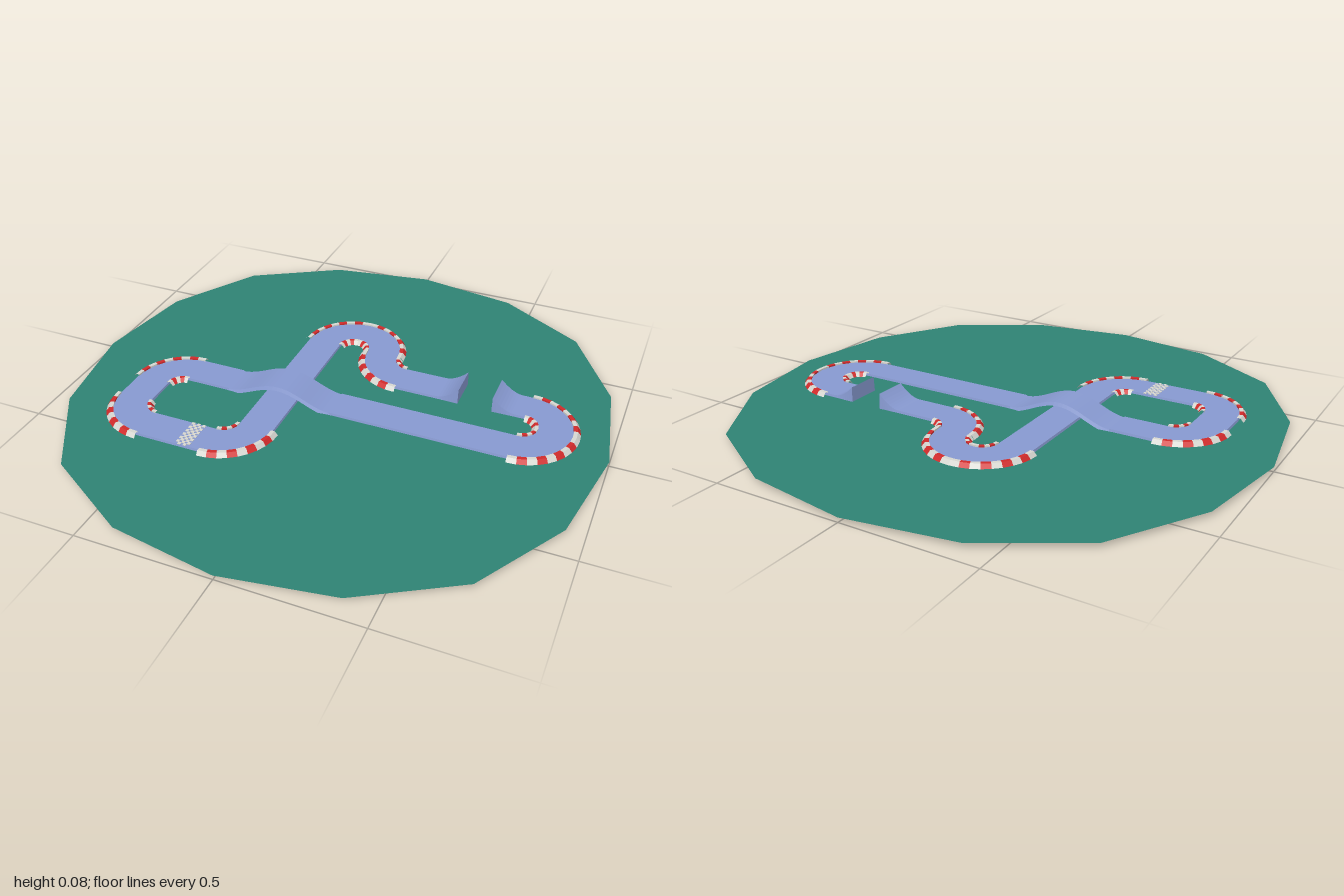
import * as THREE from 'three';
import { mergeGeometries } from 'three/addons/utils/BufferGeometryUtils.js';

const mat = (name, color) => {
  const m = new THREE.MeshStandardMaterial({ color, side: THREE.DoubleSide });
  m.name = name;
  return m;
};

const R = 0.125;        // corner centreline radius
const HALF = 0.065;     // half road width
const TOP = 0.026;      // road surface height
const FOOT = 0.008;     // lower edge of the road skirts
const GROUND = 0.017;
const H = Math.PI / 2;

// Stations carry a position and a sideways direction
const arc = (cx, cz, a0, a1, n) => Array.from({ length: n + 1 }, (_, i) => {
  const a = a0 + (a1 - a0) * i / n, nx = Math.cos(a), nz = Math.sin(a);
  return { x: cx + R * nx, z: cz + R * nz, nx, nz };
});
const line = (x0, z0, x1, z1, n = 1) => {
  const l = Math.hypot(x1 - x0, z1 - z0);
  return Array.from({ length: n + 1 }, (_, i) => ({
    x: x0 + (x1 - x0) * i / n, z: z0 + (z1 - z0) * i / n,
    nx: (z1 - z0) / l, nz: -(x1 - x0) / l, t: i / n,
  }));
};

// Sweep a cross-section (a list of [offset, y], or a function of the station) along stations
function sweep(stations, profile, caps = false) {
  const rings = stations.map((s) => (typeof profile === 'function' ? profile(s) : profile)
    .map(([o, y]) => [s.x + s.nx * o, y, s.z + s.nz * o]));
  const pos = [];
  const tri = (...p) => p.forEach((v) => pos.push(...v));
  for (let i = 0; i < rings.length - 1; i++) {
    const a = rings[i], b = rings[i + 1];
    for (let j = 0; j < a.length - 1; j++) {
      tri(a[j], a[j + 1], b[j]);
      tri(a[j + 1], b[j + 1], b[j]);
    }
  }
  if (caps) {
    for (const r of [rings[0], rings[rings.length - 1]]) {
      for (let j = 1; j < r.length - 1; j++) tri(r[0], r[j], r[j + 1]);
    }
  }
  const g = new THREE.BufferGeometry();
  g.setAttribute('position', new THREE.Float32BufferAttribute(pos, 3));
  g.computeVertexNormals();
  return g;
}

const roadProfile = (y) => [[-HALF - 0.004, FOOT], [-HALF, y], [HALF, y], [HALF + 0.004, FOOT]];

export function createModel() {
  const group = new THREE.Group();
  const green = mat('grass green', 0x2e8274);
  const blue = mat('road blue', 0x8799d0);
  const red = mat('kerb red', 0xd02a2a);
  const white = mat('kerb white', 0xd6d6d0);
  const add = (name, geo, m) => {
    const mesh = new THREE.Mesh(geo, m);
    mesh.name = name;
    group.add(mesh);
  };

  // Sixteen-sided ground disc, mirrored from one quadrant
  const quadrant = [[1, 0], [0.935, 0.395], [0.733, 0.733], [0.395, 0.935]];
  const rim = [];
  for (let q = 0; q < 4; q++) {
    const c = Math.round(Math.cos(q * H)), s = Math.round(Math.sin(q * H));
    quadrant.forEach(([x, y]) => rim.push(new THREE.Vector2(x * c - y * s, x * s + y * c)));
  }
  add('ground', new THREE.ShapeGeometry(new THREE.Shape(rim)).rotateX(-H).translate(0, GROUND, 0), green);

  // Quarter-turn corners: centre x, centre z, start and end angle
  const corners = [
    [0.67, -0.075, H, 0], [0.67, -0.075, 0, -H],
    [-0.58, 0.175, -H, -2 * H], [-0.58, 0.30, 2 * H, H], [-0.33, 0.30, H, 0],
    [-0.08, -0.325, 2 * H, 3 * H], [-0.08, -0.325, 3 * H, 4 * H],
    [0.17, -0.325, 2 * H, H],
  ];
  const straights = [
    [-0.58, 0.05, -0.41, 0.05], [0, 0.05, 0.67, 0.05],
    [-0.705, 0.175, -0.705, 0.30], [-0.58, 0.425, -0.33, 0.425],
    [-0.205, 0.30, -0.205, -0.325],
    [0.17, -0.2, 0.33, -0.2], [0.63, -0.2, 0.67, -0.2],
  ];
  add('road', mergeGeometries([
    ...corners.map((c) => sweep(arc(...c, 9), roadProfile(TOP))),
    ...straights.map((s) => sweep(line(...s), roadProfile(TOP))),
  ]), blue);

  // Bridge arching over the crossing lane
  add('bridge', sweep(line(-0.42, 0.05, 0.01, 0.05, 24), ({ t }) => {
    const y = 0.022 + 0.0305 * (1 - Math.cos(t * 4 * H));
    const w = HALF + 0.006;
    return [[-w, y - 0.013], [-HALF, y], [HALF, y], [w, y - 0.013], [-w, y - 0.013]];
  }), blue);

  // Facing jump ramps with a gap between
  for (const [name, x0, x1] of [['takeoffRamp', 0.33, 0.415], ['landingRamp', 0.63, 0.545]]) {
    add(name, sweep(line(x0, -0.2, x1, -0.2, 8), ({ t }) => roadProfile(TOP + 0.049 * t ** 1.8), true), blue);
  }

  // Striped kerbs on the outside and inside of every corner
  const outer = [[0.062, TOP], [0.062, 0.032], [0.076, 0.032], [0.102, 0]];
  const inner = [[-0.062, TOP], [-0.062, 0.032], [-0.074, 0.032], [-0.09, 0.012]];
  const stripes = [[], []];
  for (const c of corners) {
    for (const [profile, n] of [[outer, 9], [inner, 5]]) {
      const st = arc(...c, n);
      for (let i = 0; i < n; i++) stripes[i % 2].push(sweep([st[i], st[i + 1]], profile));
    }
  }
  add('whiteKerbs', mergeGeometries(stripes[0]), white);
  add('redKerbs', mergeGeometries(stripes[1]), red);

  // Chequered start line
  const checks = [];
  const size = 0.13 / 12;
  for (let i = 0; i < 5; i++) {
    for (let j = 0; j < 12; j++) {
      if ((i + j) % 2) continue;
      checks.push(new THREE.BoxGeometry(size * 1.1, 0.002, size * 1.1)
        .translate(-0.4 + (i - 2) * size, TOP + 0.001, 0.425 + (j - 5.5) * size));
    }
  }
  add('startLine', mergeGeometries(checks), white);

  return group;
}
